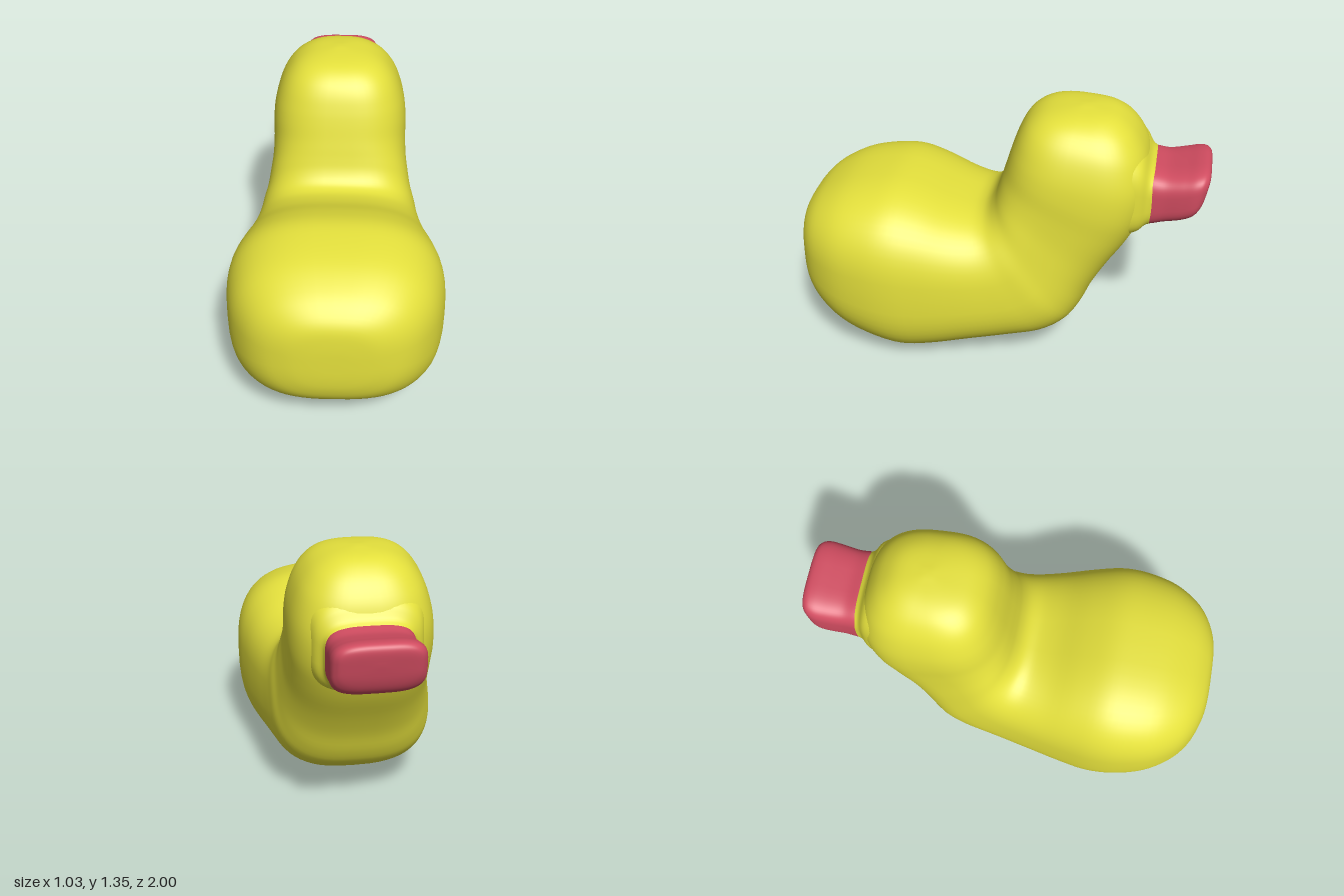
import * as THREE from 'three';
import { mergeVertices } from 'three/addons/utils/BufferGeometryUtils.js';

// Skin of rounded-square sections. Each row: upper z, upper y, lower z, lower y, half width.
function loft(rows, power, steps, sides) {
  const upper = new THREE.CatmullRomCurve3(
    rows.map(r => new THREE.Vector3(r[4], r[1], r[0])), false, 'catmullrom', 0.5);
  const lower = new THREE.CatmullRomCurve3(
    rows.map(r => new THREE.Vector3(r[4], r[3], r[2])), false, 'catmullrom', 0.5);
  const round = v => Math.sign(v) * Math.pow(Math.abs(v), 2 / power);
  const pos = [], index = [];
  for (let i = 0; i <= steps; i++) {
    const a = upper.getPoint(i / steps), b = lower.getPoint(i / steps);
    for (let j = 0; j < sides; j++) {
      const t = (j / sides) * Math.PI * 2;
      const k = (1 + round(Math.cos(t))) / 2;
      pos.push(a.x * round(Math.sin(t)), b.y + (a.y - b.y) * k, b.z + (a.z - b.z) * k);
      if (i < steps) {
        const p = i * sides + j, q = i * sides + (j + 1) % sides;
        index.push(p, q, p + sides, q, q + sides, p + sides);
      }
    }
  }
  let geo = new THREE.BufferGeometry();
  geo.setAttribute('position', new THREE.Float32BufferAttribute(pos, 3));
  geo.setIndex(index);
  geo = mergeVertices(geo, 1e-5);
  geo.computeVertexNormals();
  return geo;
}

export function createModel() {
  const group = new THREE.Group();
  const yellow = new THREE.MeshStandardMaterial({ color: 0xe4e03c });
  const red = new THREE.MeshStandardMaterial({ color: 0xd04c60 });
  const add = (name, geo, mat) => {
    const mesh = new THREE.Mesh(geo, mat);
    mesh.name = name;
    group.add(mesh);
  };

  // Body, neck and head in one skin, fanning around the notch behind the neck
  add('bodyAndHead', loft([
    [1, 0.52, 1, 0.52, 0],
    [0.998, 0.62, 0.998, 0.42, 0.12],
    [0.985, 0.71, 0.985, 0.34, 0.22],
    [0.94, 0.775, 0.95, 0.265, 0.32],
    [0.87, 0.83, 0.87, 0.18, 0.405],
    [0.75, 0.885, 0.75, 0.1, 0.475],
    [0.6, 0.915, 0.6, 0.04, 0.51],
    [0.48, 0.92, 0.45, 0.004, 0.513],
    [0.35, 0.885, 0.3, 0.018, 0.49],
    [0.22, 0.832, 0.1, 0.065, 0.455],
    [0.13, 0.81, -0.1, 0.11, 0.425],
    [0.08, 0.815, -0.27, 0.155, 0.405],
    [0.045, 0.838, -0.38, 0.23, 0.39],
    [0.018, 0.88, -0.44, 0.32, 0.37],
    [0, 0.93, -0.49, 0.44, 0.355],
    [-0.015, 0.98, -0.56, 0.57, 0.342],
    [-0.03, 1.03, -0.65, 0.72, 0.337],
    [-0.05, 1.1, -0.71, 0.86, 0.337],
    [-0.07, 1.16, -0.73, 1.01, 0.325],
    [-0.1, 1.23, -0.705, 1.14, 0.295],
    [-0.14, 1.285, -0.665, 1.225, 0.255],
    [-0.2, 1.325, -0.61, 1.29, 0.2],
    [-0.28, 1.345, -0.53, 1.338, 0.12],
    [-0.4, 1.356, -0.4, 1.356, 0],
  ], 2.8, 92, 64), yellow);

  // Flare of the face that meets the beak
  add('beakRoot', loft([
    [-0.62, 1.22, -0.62, 0.75, 0.265],
    [-0.68, 1.18, -0.68, 0.77, 0.24],
    [-0.715, 1.125, -0.715, 0.798, 0.209],
    [-0.74, 1.104, -0.74, 0.81, 0.2],
  ], 3.4, 12, 64), yellow);

  // Beak with an upturned, slanting tip
  add('beak', loft([
    [-0.7, 1.103, -0.7, 0.81, 0.199],
    [-0.738, 1.103, -0.738, 0.812, 0.2],
    [-0.8, 1.096, -0.8, 0.832, 0.198],
    [-0.88, 1.11, -0.87, 0.852, 0.204],
    [-0.94, 1.124, -0.92, 0.875, 0.204],
    [-0.98, 1.122, -0.95, 0.905, 0.188],
    [-0.998, 1.095, -0.972, 0.955, 0.145],
    [-0.99, 1.03, -0.99, 1.03, 0],
  ], 3.6, 42, 64), red);

  return group;
}
